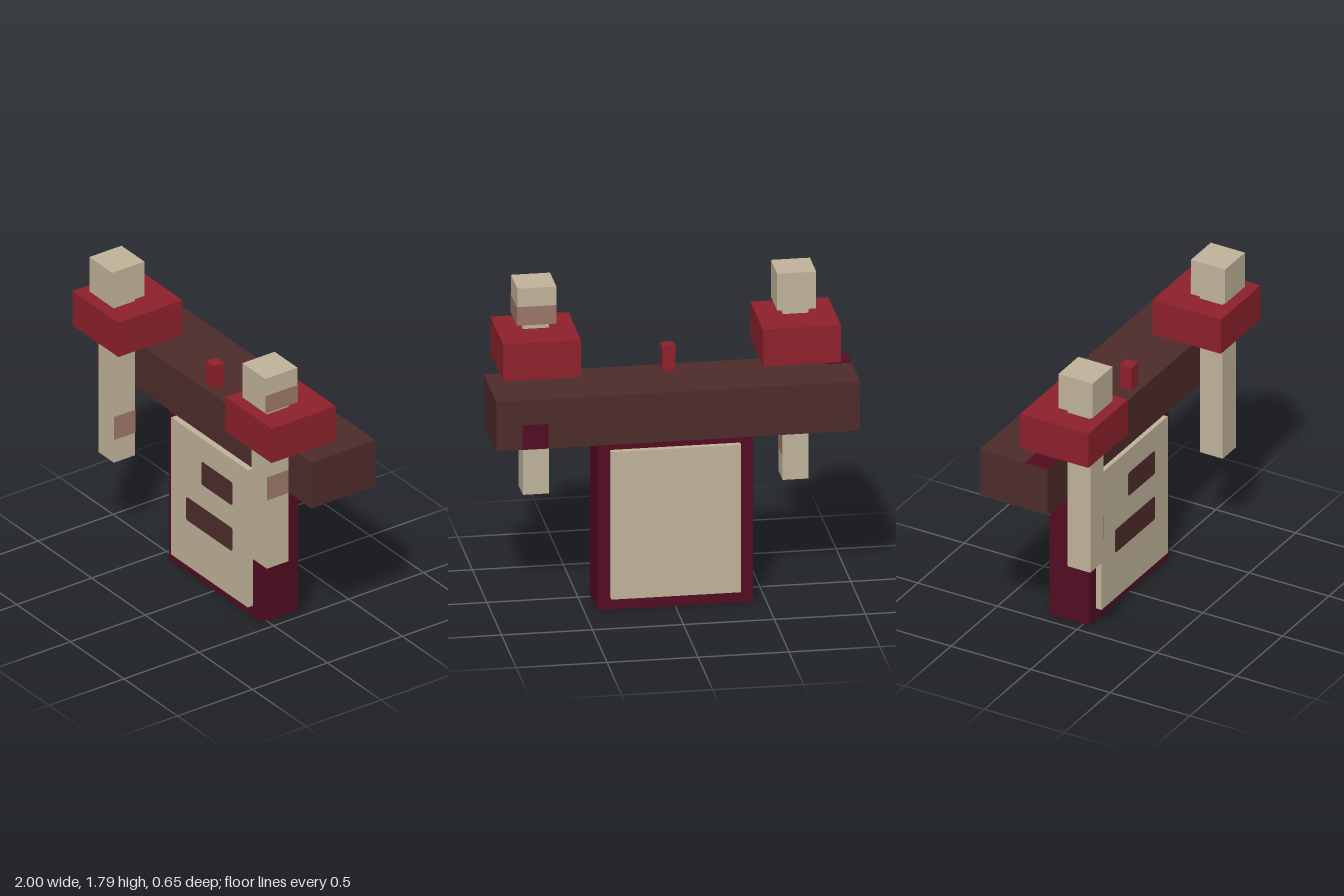
import * as THREE from 'three';

const U = 1 / 14; // one layout unit
const THIN = 0.003; // thickness of painted plates

function material(name, color) {
  const m = new THREE.MeshStandardMaterial({ color });
  m.name = name;
  return m;
}

export function createModel() {
  const model = new THREE.Group();
  model.name = 'model';

  const beige = material('beige', 0xc1b49b);
  const brown = material('darkBrown', 0x4e2c2b);
  const maroon = material('maroon', 0x530c22);
  const red = material('red', 0x8e212c);
  const clay = material('clay', 0x9d7668);

  // Box from its limits in layout units
  function box(name, mat, [x0, x1], [y0, y1], [z0, z1], parent = model) {
    const mesh = new THREE.Mesh(
      new THREE.BoxGeometry((x1 - x0) * U, (y1 - y0) * U, (z1 - z0) * U), mat);
    mesh.position.set((x0 + x1) * U / 2, (y0 + y1) * U / 2, (z0 + z1) * U / 2);
    mesh.name = name;
    parent.add(mesh);
    return mesh;
  }

  // Thin plate in the xy plane with rounded corners; bottom corners optional
  function plate(name, mat, [x0, x1], [y0, y1], z, roundBottom) {
    const r = 0.2, b = roundBottom ? r : 0;
    const s = new THREE.Shape();
    s.moveTo(x0 + b, y0);
    s.lineTo(x1 - b, y0);
    s.quadraticCurveTo(x1, y0, x1, y0 + b);
    s.lineTo(x1, y1 - r);
    s.quadraticCurveTo(x1, y1, x1 - r, y1);
    s.lineTo(x0 + r, y1);
    s.quadraticCurveTo(x0, y1, x0, y1 - r);
    s.lineTo(x0, y0 + b);
    s.quadraticCurveTo(x0, y0, x0 + b, y0);
    const geo = new THREE.ExtrudeGeometry(s, { depth: THIN / U, bevelEnabled: false, curveSegments: 4 });
    geo.scale(U, U, U);
    const mesh = new THREE.Mesh(geo, mat);
    mesh.position.z = z;
    mesh.name = name;
    model.add(mesh);
  }

  const t = THIN / U;

  // Central body with raised panels front and back
  box('body', maroon, [-6, 6], [0, 14], [-3, 0.5]);
  box('frontPanel', beige, [-5, 5], [1, 13], [0.5, 1]);
  box('backPanel', beige, [-5, 5], [1, 13], [-3.5, -3]);
  plate('upperSlot', brown, [-1, 3], [9, 11], U, true);
  plate('lowerSlot', brown, [-3, 3], [5, 7], U, true);

  // Cross beam with knob and painted marks
  box('beam', brown, [-14, 14], [14, 18], [-4.5, 1.5]);
  box('knob', red, [-0.5, 0.5], [18, 20], [0, 1]);
  box('beamTopMark', maroon, [-14, -12], [18, 18 + t], [-0.5, 1.5]);
  plate('beamBackMark', maroon, [10, 12], [14, 16], -4.5 * U - THIN, false);

  // Posts with collars and caps, one on each side
  for (const side of [-1, 1]) {
    const post = new THREE.Group();
    post.name = side > 0 ? 'leftPost' : 'rightPost';
    const span = (a, b) => (side > 0 ? [a, b] : [-b, -a]);
    box('shaft', beige, span(9, 11), [8, 22], [1.5, 3.5], post);
    box('collar', red, span(7, 13), [18.5, 21.5], [-1.5, 4.5], post);
    box('cap', beige, span(8.5, 11.5), [22, 25], [1, 4], post);

    // Clay band on the outer or inner face of the shaft
    const faceX = side > 0 ? 11 : -9;
    const bandY = side > 0 ? [14, 16] : [10, 12];
    box('shaftBand', clay, [faceX, faceX + t], bandY, [1.5, 3.5], post);
    if (side > 0) {
      box('capSideBand', clay, [11.5, 11.5 + t], [22, 23.5], [1, 4], post);
      box('capBackBand', clay, [8.5, 11.5], [22, 23.5], [1 - t, 1], post);
    }
    model.add(post);
  }

  return model;
}
